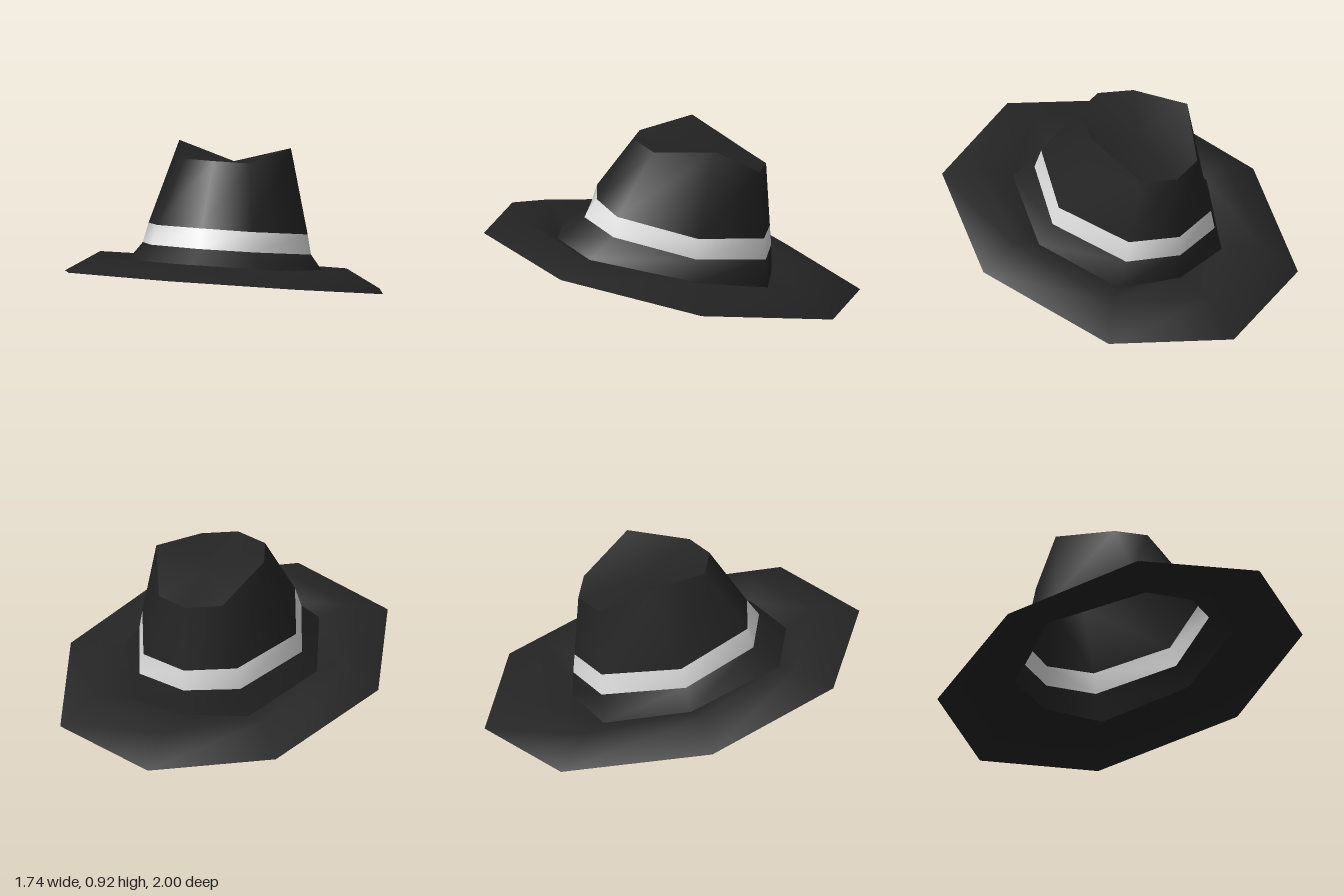
import * as THREE from 'three';

// Each ring is half an octagon, front to back along +x; it is mirrored to close the loop.
const brimEdge = [[0, 0.45, 1], [0.625, 0.385, 0.72], [0.87, 0.22, 0.02], [0.61, 0.06, -0.73], [0, 0, -1]];
const brimRidge = [[0, 0.485, 0.76], [0.48, 0.44, 0.56], [0.68, 0.335, 0.01], [0.48, 0.195, -0.57], [0, 0.14, -0.79]];
const crownBase = [[0, 0.395, 0.61], [0.33, 0.375, 0.5], [0.54, 0.29, -0.02], [0.33, 0.155, -0.44], [0, 0.145, -0.53]];
const bandLow = [[0, 0.5, 0.465], [0.285, 0.48, 0.37], [0.46, 0.39, -0.03], [0.285, 0.3, -0.44], [0, 0.28, -0.527]];
const bandHigh = [[0, 0.595, 0.4], [0.26, 0.582, 0.345], [0.435, 0.492, -0.05], [0.265, 0.41, -0.435], [0, 0.388, -0.52]];
const crownRim = [[0, 0.91, 0.2], [0.18, 0.895, 0.135], [0.305, 0.917, -0.17], [0.18, 0.745, -0.43], [0, 0.73, -0.5]];

// Closes a half ring into eight points
function closeRing(half) {
  const mirrored = half.slice(1, -1).reverse().map(([x, y, z]) => [-x, y, z]);
  return [...half, ...mirrored];
}

// Skins consecutive rings, from the lower or outer one to the upper or inner one
function loft(halves) {
  const rings = halves.map(closeRing);
  const n = rings[0].length;
  const index = [];
  for (let r = 0; r < rings.length - 1; r++) {
    for (let i = 0; i < n; i++) {
      const a = r * n + i;
      const b = r * n + (i + 1) % n;
      index.push(a, b, b + n, a, b + n, a + n);
    }
  }
  return toGeometry(rings.flat(), index);
}

// Fills a ring with a fan around a centre point
function cap(half, centre) {
  const ring = closeRing(half);
  const index = [];
  for (let i = 0; i < ring.length; i++) {
    index.push(ring.length, i, (i + 1) % ring.length);
  }
  return toGeometry([...ring, centre], index);
}

function toGeometry(points, index) {
  const geometry = new THREE.BufferGeometry();
  geometry.setAttribute('position', new THREE.Float32BufferAttribute(points.flat(), 3));
  geometry.setIndex(index);
  geometry.computeVertexNormals();
  return geometry;
}

export function createModel() {
  const felt = new THREE.MeshStandardMaterial({ color: 0x242424, side: THREE.DoubleSide });
  felt.name = 'black felt';
  const ribbon = new THREE.MeshStandardMaterial({ color: 0xe0e0e0, side: THREE.DoubleSide });
  ribbon.name = 'pale ribbon';

  const hat = new THREE.Group();
  hat.name = 'hat';
  const add = (name, geometry, material) => {
    const mesh = new THREE.Mesh(geometry, material);
    mesh.name = name;
    hat.add(mesh);
  };

  // Tilted brim with a raised ridge, open underneath
  add('brim', loft([brimEdge, brimRidge, crownBase]), felt);
  // Crown wall, with the ribbon as its own strip
  add('crownFoot', loft([crownBase, bandLow]), felt);
  add('hatBand', loft([bandLow, bandHigh]), ribbon);
  add('crownWall', loft([bandHigh, crownRim]), felt);
  // Slightly dished top sloping down to the back
  add('crownTop', cap(crownRim, [0, 0.83, -0.15]), felt);

  return hat;
}
